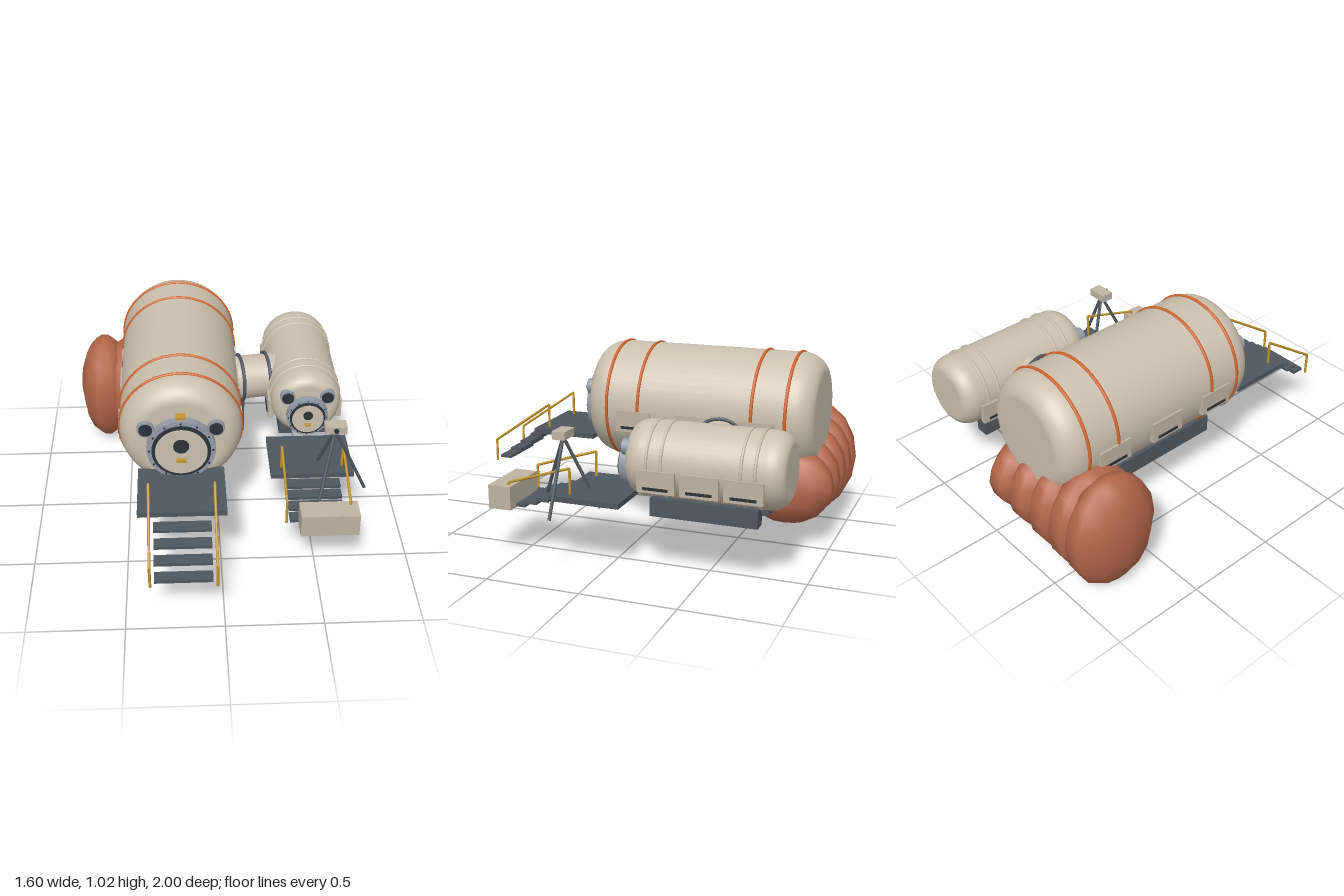
import * as THREE from 'three';

const mat = (name, color) => {
  const m = new THREE.MeshStandardMaterial({ color });
  m.name = name;
  return m;
};

export function createModel() {
  const root = new THREE.Group();
  const M = {
    hull: mat('hull beige', 0xcbc0ae), panel: mat('panel beige', 0xbfb4a3),
    orange: mat('band orange', 0xd2652a), rust: mat('rust', 0xb5674a),
    slate: mat('slate', 0x4e575f), dark: mat('dark glass', 0x2b333a),
    steel: mat('steel', 0x949ba8), gold: mat('gold', 0xc4952c),
  };
  const V = (x, y, z) => new THREE.Vector3(x, y, z);

  const add = (parent, name, geo, material, x = 0, y = 0, z = 0) => {
    const m = new THREE.Mesh(geo, material);
    m.name = name;
    m.position.set(x, y, z);
    parent.add(m);
    return m;
  };
  const box = (p, name, material, w, h, d, x, y, z) =>
    add(p, name, new THREE.BoxGeometry(w, h, d), material, x, y, z);
  // disc facing +z, from z0 to z1
  const disc = (p, name, material, r, x, y, z0, z1, seg = 32) =>
    add(p, name, new THREE.CylinderGeometry(r, r, z1 - z0, seg).rotateX(Math.PI / 2), material, x, y, (z0 + z1) / 2);
  const ring = (p, name, material, r, t, x, y, z) =>
    add(p, name, new THREE.TorusGeometry(r, t, 8, 48), material, x, y, z);
  const rod = (p, name, material, a, b, r) => {
    const m = add(p, name, new THREE.CylinderGeometry(r, r, a.distanceTo(b), 8), material);
    m.position.copy(a).add(b).multiplyScalar(0.5);
    m.quaternion.setFromUnitVectors(V(0, 1, 0), b.clone().sub(a).normalize());
    return m;
  };
  const group = (name, x = 0, y = 0, z = 0) => {
    const g = new THREE.Group();
    g.name = name;
    g.position.set(x, y, z);
    root.add(g);
    return g;
  };

  // Pressure hull: flat-ended capsule along z, half length h
  const hull = (p, r, flat, h, shoulder) => {
    const pts = [new THREE.Vector2(0, -h)];
    const arc = [];
    for (let i = 0; i <= 8; i++) {
      const a = (i / 8) * Math.PI / 2;
      arc.push([flat + (r - flat) * Math.sin(a), h - shoulder * (1 - Math.cos(a))]);
    }
    arc.forEach(([x, y]) => pts.push(new THREE.Vector2(x, -y)));
    arc.reverse().forEach(([x, y]) => pts.push(new THREE.Vector2(x, y)));
    pts.push(new THREE.Vector2(0, h));
    add(p, 'hull', new THREE.LatheGeometry(pts, 48).rotateX(Math.PI / 2), M.hull);
  };

  // Round hatch with flange, bolts, window and handle; s is the flange radius
  const hatch = (p, s, y, z) => {
    disc(p, 'hatchFlange', M.steel, s, 0, y, z - 0.02, z + 0.045, 40);
    disc(p, 'hatchSeal', M.dark, s * 0.86, 0, y, z, z + 0.055, 40);
    disc(p, 'hatchDoor', M.hull, s * 0.76, 0, y, z, z + 0.061, 40);
    disc(p, 'hatchWindow', M.dark, s * 0.23, 0, y + s * 0.22, z, z + 0.068, 24);
    box(p, 'hatchHandle', M.gold, s * 0.28, s * 0.08, 0.02, 0, y - s * 0.26, z + 0.07);
    for (let i = 0; i < 12; i++) {
      const a = (i / 12) * Math.PI * 2;
      disc(p, 'hatchBolt', M.dark, s * 0.03, Math.cos(a) * s * 0.93, y + Math.sin(a) * s * 0.93, z, z + 0.05, 8);
    }
  };
  const porthole = (p, r, x, y, z) => {
    disc(p, 'portholeRim', M.steel, r * 1.25, x, y, z - 0.05, z + 0.022, 24);
    disc(p, 'portholeGlass', M.dark, r, x, y, z - 0.04, z + 0.028, 24);
  };
  // Equipment lockers on both flanks
  const lockers = (p, x, y, h, zs) => {
    for (const s of [-1, 1]) for (const z of zs) {
      box(p, 'sideLocker', M.panel, 0.03, h, 0.195, s * x, y, z);
      box(p, 'lockerVent', M.dark, 0.006, 0.014, 0.13, s * (x + 0.017), y - h * 0.3, z);
    }
  };

  // Large module
  const main = group('largeModule', -0.2, 0.7, -0.27);
  hull(main, 0.32, 0.215, 0.63, 0.135);
  for (const z of [-0.495, -0.315, 0.315, 0.495]) ring(main, 'orangeBand', M.orange, 0.32, 0.009, 0, 0, z);
  hatch(main, 0.177, -0.03, 0.63);
  for (const s of [-1, 1]) {
    porthole(main, 0.035, s * 0.18, 0.085, 0.63);
    box(main, 'skid', M.slate, 0.075, 0.1, 0.86, s * 0.15, -0.345, 0);
  }
  box(main, 'doorLamp', M.gold, 0.052, 0.015, 0.05, 0, 0.162, 0.645);
  lockers(main, 0.315, -0.06, 0.115, [-0.34, 0, 0.34]);

  // Small module
  const small = group('smallModule', 0.505, 0.575, -0.503);
  hull(small, 0.195, 0.13, 0.405, 0.09);
  for (const z of [-0.27, -0.2, 0.2, 0.275]) ring(small, 'hullRib', M.hull, 0.195, 0.008, 0, 0, z);
  hatch(small, 0.115, -0.037, 0.405);
  for (const s of [-1, 1]) {
    porthole(small, 0.033, s * 0.11, 0.075, 0.4);
    box(small, 'skid', M.slate, 0.075, 0.095, 0.55, s * 0.1, -0.215, 0);
  }
  lockers(small, 0.193, -0.065, 0.112, [-0.22, 0, 0.22]);

  // Connecting tunnel with collars and legs
  const tunnel = group('tunnel', 0.224, 0.575, -0.44);
  tunnel.rotation.y = 0.16;
  add(tunnel, 'tunnelTube', new THREE.CylinderGeometry(0.125, 0.125, 0.32, 32).rotateZ(Math.PI / 2), M.hull);
  for (const x of [-0.075, 0.078]) {
    add(tunnel, 'tunnelCollar', new THREE.TorusGeometry(0.132, 0.01, 8, 40).rotateY(Math.PI / 2), M.slate, x);
  }
  rod(root, 'tunnelLeg', M.slate, V(0.135, 0.28, -0.556), V(0.135, 0.58, -0.556), 0.011);
  rod(root, 'tunnelLeg', M.slate, V(0.162, 0.28, -0.353), V(0.162, 0.58, -0.353), 0.011);

  // Entry platform with steps and handrails
  const entry = (name, o) => {
    const g = group(name, o.x, 0, 0);
    box(g, 'platform', M.slate, 0.45, 0.028, o.z1 - o.z0, 0, o.y, (o.z0 + o.z1) / 2);
    for (let i = 0; i < 4; i++) {
      box(g, 'step', M.slate, 0.29, 0.015, 0.068, 0, o.stepY - i * o.drop, o.z1 + 0.035 + i * 0.067);
    }
    const zTop = o.z1 - 0.066, zEnd = o.z1 + 0.28;
    for (const s of [-1, 1]) {
      const x = s * 0.165;
      rod(g, 'railPost', M.gold, V(x, o.y, zTop), V(x, o.railY, zTop), 0.007);
      rod(g, 'handrail', M.gold, V(x, o.railY, zTop), V(x, o.endY, zEnd), 0.007);
      rod(g, 'railPost', M.gold, V(x, 0.285, zEnd), V(x, o.endY, zEnd), 0.007);
    }
  };
  entry('largeEntry', { x: -0.203, y: 0.505, z0: 0.35, z1: 0.715, stepY: 0.455, drop: 0.05, railY: 0.65, endY: 0.41 });
  entry('smallEntry', { x: 0.506, y: 0.371, z0: -0.095, z1: 0.257, stepY: 0.345, drop: 0.021, railY: 0.52, endY: 0.41 });

  // Supply crate
  box(root, 'crate', M.panel, 0.305, 0.125, 0.125, 0.558, 0.333, 0.573);

  // Survey instrument on a tripod
  const tripod = group('tripod', 0.612, 0, 0.25);
  box(tripod, 'instrument', M.panel, 0.115, 0.042, 0.07, 0, 0.682, 0);
  disc(tripod, 'instrumentLens', M.dark, 0.013, 0, 0.685, 0.03, 0.045, 16);
  for (let i = 0; i < 3; i++) {
    const a = (i / 3) * Math.PI * 2;
    rod(tripod, 'tripodLeg', M.slate, V(0, 0.665, 0), V(Math.cos(a) * 0.182, 0.278, Math.sin(a) * 0.182), 0.009);
  }

  // Ribbed bladder behind the large module, tapering toward +x
  const bladder = group('bladder', 0, 0.335, -0.755);
  [-0.648, -0.516, -0.36, -0.193, -0.028].forEach((x, i) => {
    add(bladder, 'bladderLobe', new THREE.SphereGeometry(1, 10, 8).scale(0.152, 0.327 - i * 0.029, 0.258), M.rust, x);
  });

  return root;
}
